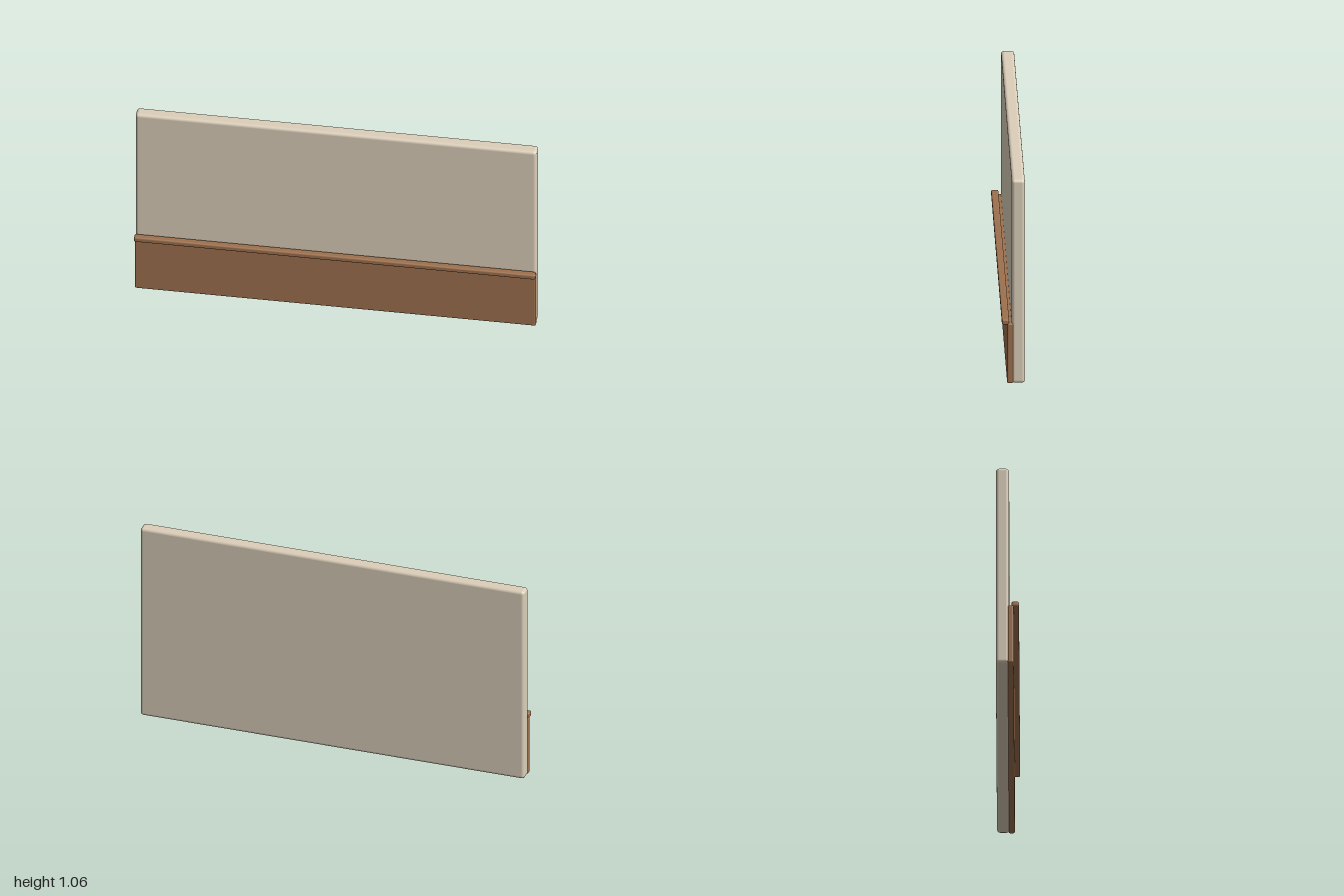
import * as THREE from 'three';
import { RoundedBoxGeometry } from 'three/addons/geometries/RoundedBoxGeometry.js';

const plaster = new THREE.MeshStandardMaterial({ color: 0xdccfba });
const wood = new THREE.MeshStandardMaterial({ color: 0x9e714e });

// Full-width rounded slab given by its y and z extents
function slab(name, y0, y1, z0, z1, radius, material) {
  const geometry = new RoundedBoxGeometry(2, y1 - y0, z1 - z0, 4, radius);
  const mesh = new THREE.Mesh(geometry, material);
  mesh.position.set(0, (y0 + y1) / 2, (z0 + z1) / 2);
  mesh.name = name;
  return mesh;
}

export function createModel() {
  const model = new THREE.Group();
  model.name = 'wainscotWall';
  model.add(
    slab('wall', 0, 1.058, -0.057, 0.008, 0.016, plaster),
    // Lower panelling, set slightly into the wall
    slab('wainscotPanel', 0, 0.312, 0.001, 0.031, 0.008, wood),
    // Rail capping the panelling
    slab('chairRail', 0.305, 0.333, 0.021, 0.057, 0.008, wood),
  );
  return model;
}
